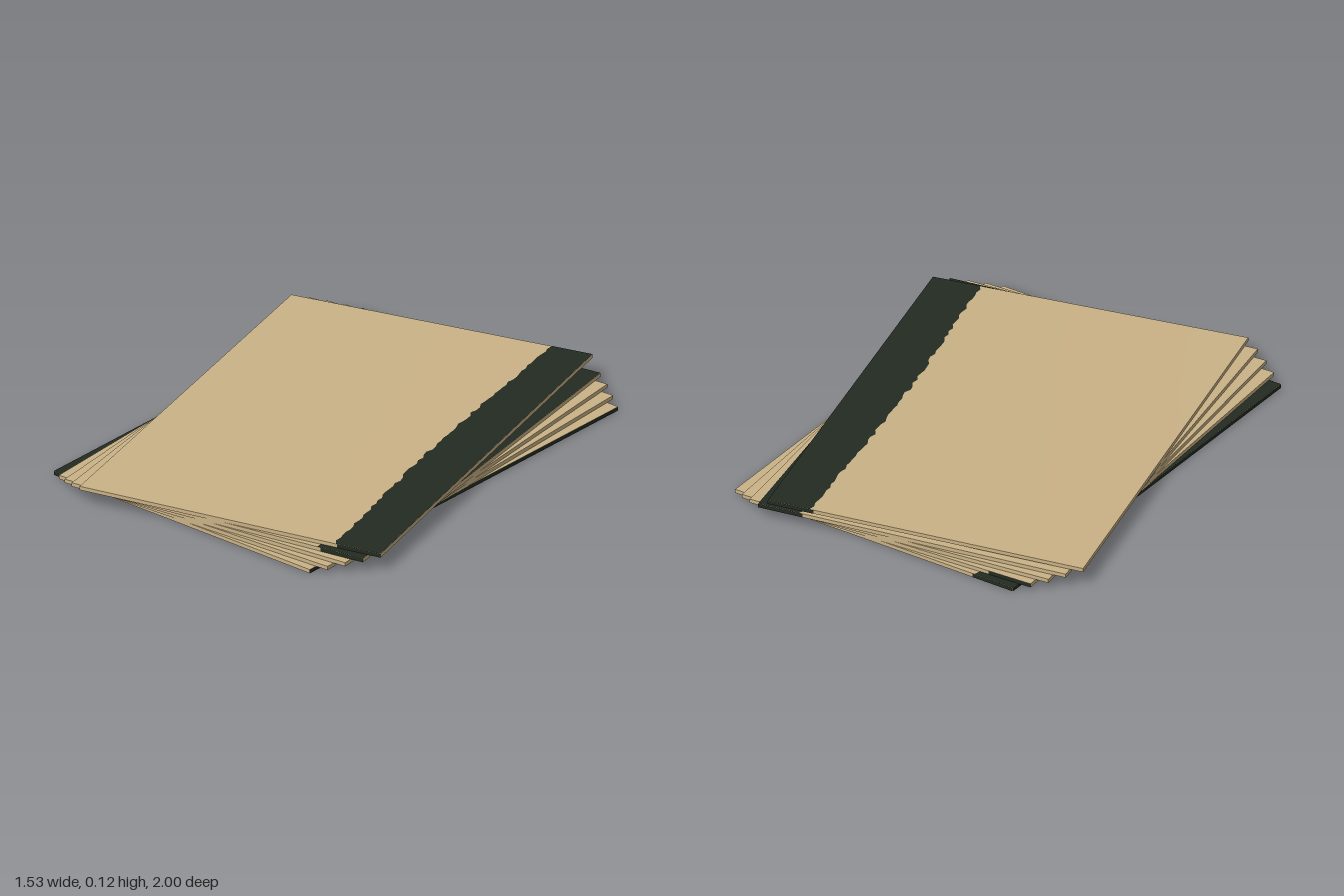
import * as THREE from 'three';

const W = 1.31, L = 1.85, T = 0.016; // sheet width, length, thickness
const EPS = 0.0008;                  // offset of painted faces
const BAND = 0.205;                  // mean width of the dark strip
const CORNER_LIFT = 0.035;

const tan = new THREE.MeshStandardMaterial({ color: 0xcab286 });
tan.name = 'tan board';
const dark = new THREE.MeshStandardMaterial({ color: 0x222b22 });
dark.name = 'dark green binding';

function seeded(seed) {
  return () => {
    seed = (seed * 16807) % 2147483647;
    return seed / 2147483647;
  };
}

// Raises the back left-hand corner (+x, -z), fading out to the other three
function liftCorner(geometry) {
  const p = geometry.attributes.position;
  for (let i = 0; i < p.count; i++) {
    const u = p.getX(i) / W + 0.5, v = p.getZ(i) / L + 0.5;
    p.setY(i, p.getY(i) + CORNER_LIFT * u * (1 - v));
  }
  geometry.computeVertexNormals();
}

// Strip along one long edge with a ragged inner border; face is +1 top, -1 underside
function bandGeometry(side, face, seed) {
  const random = seeded(seed);
  const g = new THREE.PlaneGeometry(BAND, L, 1, 70);
  g.rotateX(-face * Math.PI / 2);
  const p = g.attributes.position;
  for (let i = 0; i < p.count; i++) {
    const z = p.getZ(i);
    const inner = p.getX(i) * side < 0;
    const ragged = 0.012 * Math.cos(z * 3) + 0.01 * z + (random() - 0.5) * 0.016;
    p.setXYZ(i, side * (W / 2 - (inner ? BAND - 0.003 + ragged : 0)), face * (T / 2 + EPS), z);
  }
  return g;
}

// Dark end of the strip on the front (+1) or back (-1) rim
function rimEnd(side, end) {
  const width = BAND - 0.015;
  const g = new THREE.PlaneGeometry(width, T);
  if (end < 0) g.rotateY(Math.PI);
  return g.translate(side * (W - width) / 2, 0, end * (L / 2 + EPS));
}

// Dark long rim
function rimSide(side) {
  return new THREE.PlaneGeometry(L, T).rotateY(side * Math.PI / 2)
    .translate(side * (W / 2 + EPS), 0, 0);
}

export function createModel() {
  const model = new THREE.Group();
  model.name = 'fannedStack';

  // Painted faces of each sheet, bottom to top
  const painted = [
    { topBand: bandGeometry(-1, 1, 11), undersideBand: bandGeometry(1, -1, 23),
      rightRim: rimSide(-1), leftRim: rimSide(1),
      frontRim: rimEnd(-1, 1), backRim: rimEnd(-1, -1) },
    { backRim: rimEnd(-1, -1) },
    {},
    { topBand: bandGeometry(1, 1, 37), frontRim: rimEnd(1, 1), backRim: rimEnd(1, -1) },
    { topBand: bandGeometry(1, 1, 51), frontRim: rimEnd(1, 1), backRim: rimEnd(1, -1) },
  ];

  painted.forEach((faces, i) => {
    const top = i === painted.length - 1;
    const sheet = new THREE.Group();
    sheet.name = top ? 'topCover' : i === 0 ? 'bottomCover' : `sheet${i}`;
    sheet.position.y = T * (i + 0.5) + EPS;
    sheet.rotation.y = THREE.MathUtils.degToRad(-7 + 3.5 * i);

    const segments = top ? 16 : 1;
    const parts = { board: new THREE.BoxGeometry(W, T, L, segments, 1, segments), ...faces };
    for (const [name, geometry] of Object.entries(parts)) {
      if (top) liftCorner(geometry);
      const mesh = new THREE.Mesh(geometry, name === 'board' ? tan : dark);
      mesh.name = name;
      sheet.add(mesh);
    }
    model.add(sheet);
  });
  return model;
}
